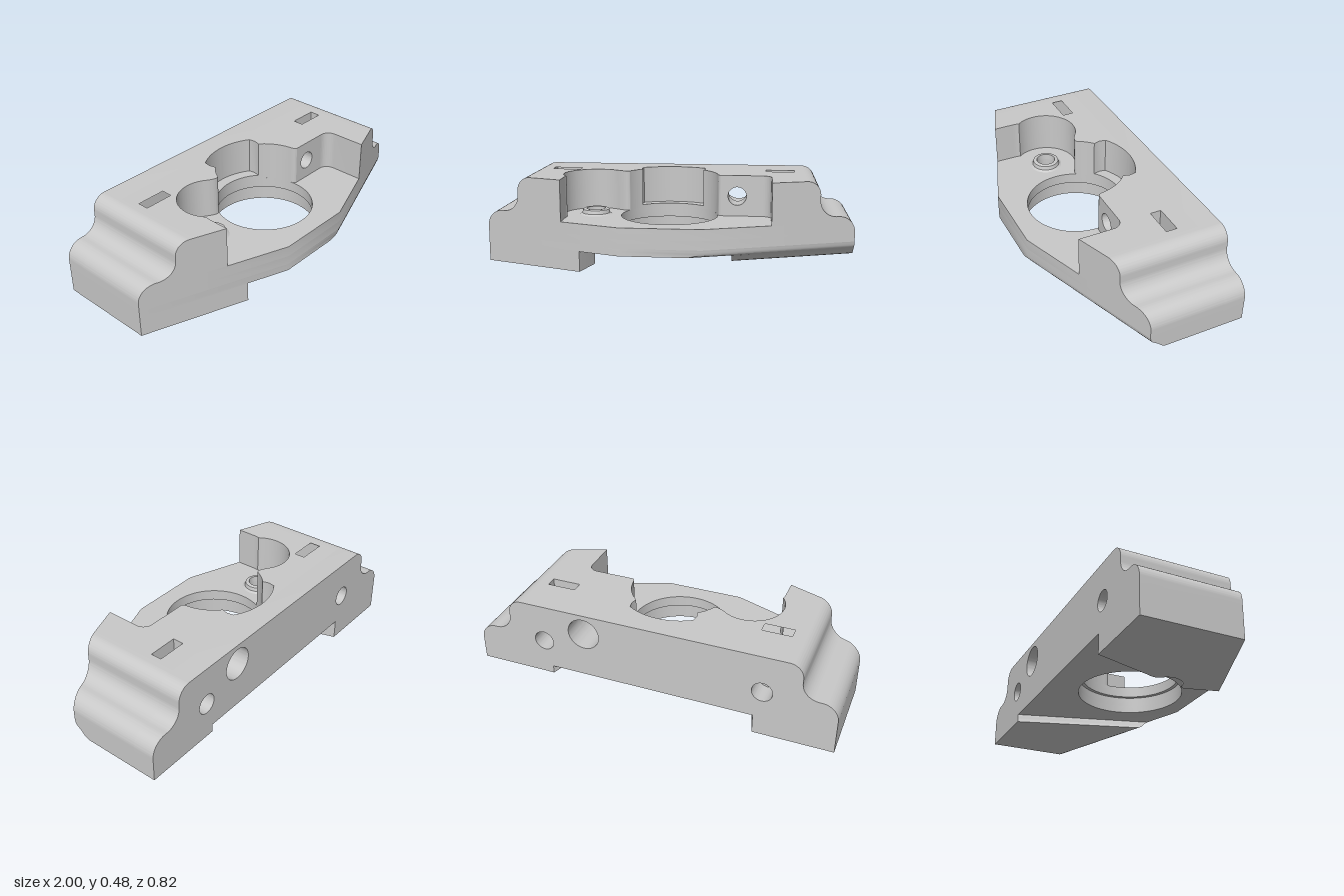
import * as THREE from 'three';
import { toCreasedNormals } from 'three/addons/utils/BufferGeometryUtils.js';

const TOP = 0.484, FLOOR = 0.26, BASE = 0.15, UNDER = 0.11;
const BACK = -0.41, PLATE = -0.29, FRONT = 0.41;
const rad = THREE.MathUtils.degToRad;
const V = (x, y) => new THREE.Vector2(x, y);

// Slanted front edge of the body in plan
const frontZ = (x) => Math.min(FRONT, x > 0 ? 0.115 + (1 - x) * 0.36875 : 0.125 + (1 + x) * 0.37013);

// Undercut below the right-hand slanted edge: height, inset
const undercut = [[0.065, 0.088], [0.0725, 0.07], [0.08, 0.06], [0.095, 0.046], [0.11, 0.026], [0.12, 0.012], [0.13, 0.005], [0.15, 0]];
function inset(y) {
  for (let i = 1; i < undercut.length; i++) {
    const [y0, d0] = undercut[i - 1], [y1, d1] = undercut[i];
    if (y <= y1) return d0 + (d1 - d0) * Math.max(0, (y - y0) / (y1 - y0));
  }
  return 0;
}

const poly = (pts) => new THREE.Shape(pts.map((p) => V(p[0], p[1])));
const hole = (x, y, r) => new THREE.Path().absarc(x, y, r, 0, Math.PI * 2, true);

export function createModel() {
  const model = new THREE.Group();
  model.name = 'machinedBracket';
  const metal = new THREE.MeshStandardMaterial({ color: 0xc8c8c8 });
  metal.name = 'light grey metal';

  function add(name, geo) {
    const mesh = new THREE.Mesh(toCreasedNormals(geo, 0.7), metal);
    mesh.name = name;
    model.add(mesh);
  }
  // Plan shape (x, z) raised from y0 to y1
  function planGeo(shape, y0, y1, steps = 1) {
    const g = new THREE.ExtrudeGeometry(shape, { depth: y1 - y0, steps, bevelEnabled: false, curveSegments: 40 });
    return g.rotateX(Math.PI / 2).translate(0, y1, 0);
  }
  // Front shape (x, y) running from z0 to z1
  function frontGeo(shape, z0, z1) {
    const g = new THREE.ExtrudeGeometry(shape, { depth: z1 - z0, bevelEnabled: false, curveSegments: 32 });
    return g.translate(0, 0, z0);
  }
  // Draw the right-hand slanted edge inwards towards the underside
  function cutUnder(geo) {
    const p = geo.attributes.position;
    for (let i = 0; i < p.count; i++) {
      const x = p.getX(i), z = p.getZ(i);
      if (x < 0.19 || Math.abs(z - frontZ(x)) > 0.002) continue;
      const d = inset(p.getY(i));
      if (x < 0.21) p.setX(i, x - d / 0.36875);
      else p.setZ(i, z - d);
    }
    return geo;
  }

  // Base layer with the wide bore
  const base = poly([[-1, BACK], [1, BACK], [1, 0.115], [0.2, FRONT], [-0.23, FRONT], [-1, 0.125]]);
  base.holes.push(hole(0, 0.04, 0.285), hole(-0.41, 0.04, 0.05));
  add('baseLayer', cutUnder(planGeo(base, UNDER, BASE, 4)));

  // Pocket floor: the wide bore continues up to a narrower lip
  for (const [name, y0, y1, r] of [['boreLayer', BASE, 0.2, 0.285], ['pocketFloor', 0.2, FLOOR, 0.265]]) {
    const floor = poly([[-0.7, PLATE], [0.7, PLATE], [0.7, frontZ(0.7)], [0.2, FRONT], [-0.23, FRONT], [-0.7, frontZ(-0.7)]]);
    floor.holes.push(hole(0, 0.04, r), hole(-0.41, 0.04, 0.05));
    add(name, planGeo(floor, y0, y1));
  }

  // Shallow pad under the right side
  const pad = poly([[0.57, BACK], [1, BACK], [1, 0.115], [0.35, frontZ(0.35)]]);
  add('rightPad', cutUnder(planGeo(pad, 0.065, UNDER, 6)));

  // Foot under the left side, notched round the screw hole
  const foot = new THREE.Shape();
  foot.moveTo(-1, BACK);
  foot.lineTo(-0.57, BACK);
  foot.lineTo(-0.473, -0.1);
  foot.quadraticCurveTo(-0.45, -0.05, -0.468, -0.022);
  foot.absarc(-0.41, 0.04, 0.085, rad(227), rad(95), true);
  foot.quadraticCurveTo(-0.4, 0.13, -0.402, 0.15);
  foot.lineTo(-0.45, frontZ(-0.45));
  foot.lineTo(-1, 0.125);
  add('foot', planGeo(foot, 0, UNDER));

  // Stepped, rounded shoulder profile
  const shoulder = new THREE.Path();
  shoulder.moveTo(1, BASE);
  shoulder.lineTo(1, 0.2);
  shoulder.absarc(0.91, 0.2, 0.09, 0, Math.PI / 2, false);
  shoulder.absarc(0.9, 0.38, 0.09, rad(270), rad(180), true);
  shoulder.absarc(0.735, 0.409, 0.075, 0, Math.PI / 2, false);
  const right = shoulder.getPoints(14);
  const left = right.map((p) => V(-p.x, p.y));

  // Back wall with drilled holes
  const wall = new THREE.Shape([...right, ...left.slice().reverse()]);
  wall.holes.push(hole(0.61, 0.27, 0.055), hole(-0.61, 0.27, 0.055), hole(0.37, 0.37, 0.088));
  add('backWall', frontGeo(wall, BACK, PLATE));

  // Shoulder ends, trimmed to the slanted front
  for (const [pts, s, name] of [[right, 1, 'rightShoulder'], [left, -1, 'leftShoulder']]) {
    const g = frontGeo(new THREE.Shape([...pts, V(0.7 * s, TOP), V(0.7 * s, BASE)]), PLATE, 0);
    const p = g.attributes.position;
    for (let i = 0; i < p.count; i++) if (p.getZ(i) > -0.1) p.setZ(i, frontZ(p.getX(i)));
    add(name, g);
  }

  const slot = (x) => new THREE.Path([V(x, -0.19), V(x, -0.13), V(x + 0.16, -0.13), V(x + 0.16, -0.19)]);

  // Upper body left of the drilled block, with the pocket outline
  const upper = new THREE.Shape();
  upper.moveTo(-0.7, PLATE);
  upper.lineTo(-0.7, frontZ(-0.7));
  upper.lineTo(-0.555, frontZ(-0.555));
  upper.lineTo(-0.555, 0.18);
  upper.quadraticCurveTo(-0.555, 0.158, -0.55, 0.145);
  upper.absarc(-0.41, 0.04, 0.175, rad(143), rad(305), false);
  upper.quadraticCurveTo(-0.247, -0.059, -0.234, -0.084);
  upper.absarc(0, 0.04, 0.265, rad(208), rad(229), false);
  upper.lineTo(-0.183, -0.195);
  upper.absarc(0, 0.04, 0.325, rad(237), rad(303), false);
  upper.lineTo(0.183, -0.195);
  upper.absarc(0, 0.04, 0.265, rad(311), rad(351), false);
  upper.quadraticCurveTo(0.266, 0.033, 0.28, 0.035);
  upper.lineTo(0.28, PLATE);
  upper.holes.push(slot(-0.69));
  add('upperBodyLeft', planGeo(upper, FLOOR, TOP));

  // Drilled block beside the pocket: deep counterbore, then a narrower hole
  for (const [name, z0, z1, r] of [['counterboredBlock', PLATE, -0.1, 0.088], ['drilledBlock', -0.1, 0.035, 0.05]]) {
    const block = poly([[0.28, FLOOR], [0.5, FLOOR], [0.5, TOP], [0.28, TOP]]);
    block.holes.push(hole(0.37, 0.37, r));
    add(name, frontGeo(block, z0, z1));
  }

  // Upper body right of the drilled block
  const upperRight = new THREE.Shape();
  upperRight.moveTo(0.5, PLATE);
  upperRight.lineTo(0.7, PLATE);
  upperRight.lineTo(0.7, frontZ(0.7));
  upperRight.lineTo(0.555, frontZ(0.555));
  upperRight.lineTo(0.555, 0.09);
  upperRight.absarc(0.5, 0.09, 0.055, 0, -Math.PI / 2, true);
  upperRight.holes.push(slot(0.525));
  add('upperBodyRight', planGeo(upperRight, FLOOR, TOP));

  // Raised ledge in the recess behind the bore
  const ledge = new THREE.Shape();
  ledge.absarc(0, 0.04, 0.325, rad(235), rad(305), false);
  ledge.absarc(0, 0.04, 0.265, rad(311), rad(229), true);
  add('recessLedge', planGeo(ledge, FLOOR, 0.278));

  // Collar round the screw hole
  const collar = [[0.09, 0.26], [0.077, 0.268], [0.072, 0.288], [0.066, 0.292], [0.052, 0.292], [0.05, 0.26]];
  add('screwCollar', new THREE.LatheGeometry(collar.map((p) => V(p[0], p[1])), 40).translate(-0.41, 0, 0.04));

  return model;
}
